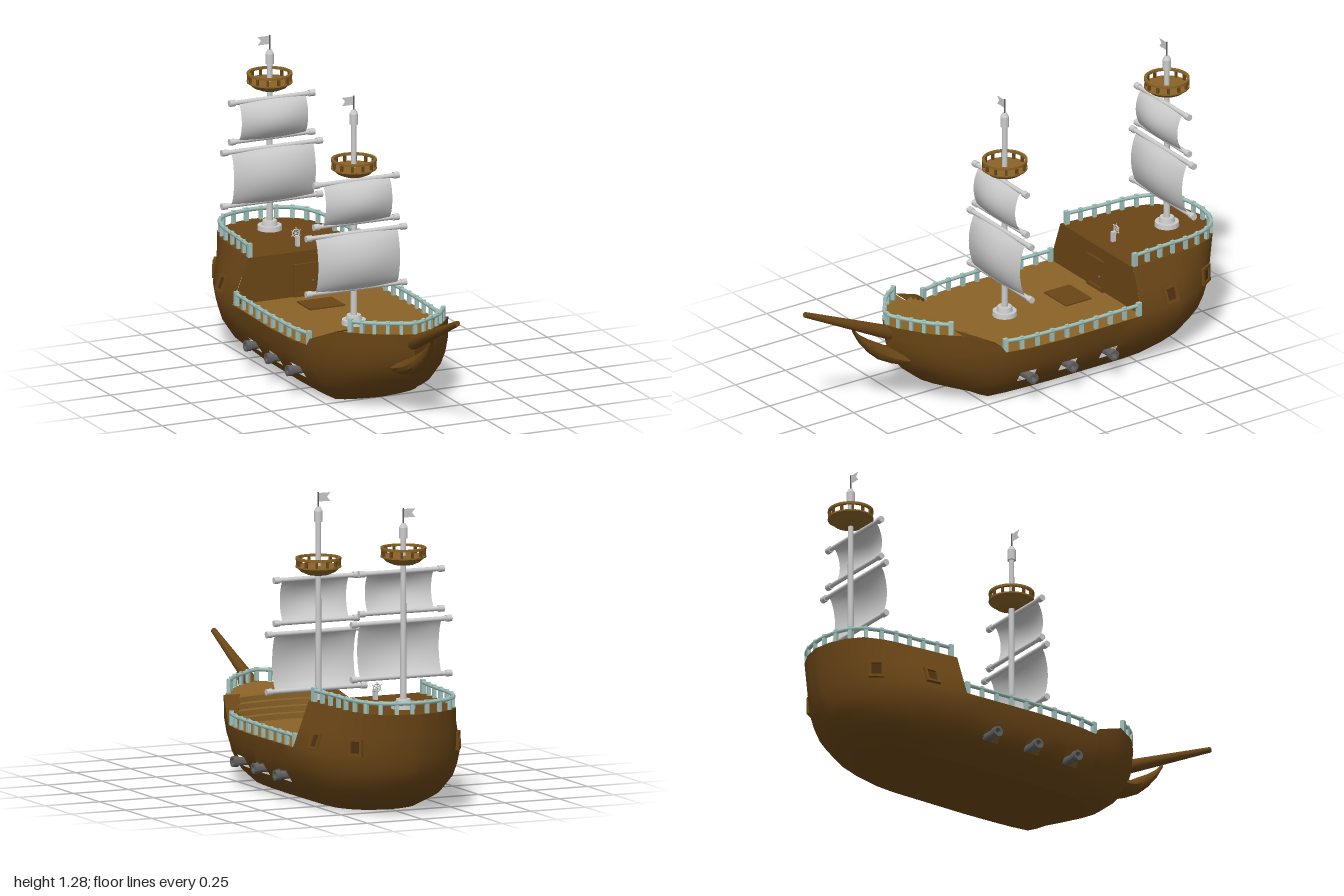
import * as THREE from 'three';
import { toCreasedNormals } from 'three/addons/utils/BufferGeometryUtils.js';

const mat = (color, side = THREE.FrontSide) => new THREE.MeshStandardMaterial({ color, side });
const HULL = 0x6b4616, DECK = 0x8b6428;
const hullMat = mat(HULL), deckMat = mat(DECK, THREE.DoubleSide), wallMat = mat(HULL, THREE.DoubleSide);
const grey = mat(0xcccccc), sailMat = mat(0xcccccc, THREE.DoubleSide);
const railMat = mat(0x9fc2bb), ironMat = mat(0x606060), darkMat = mat(0x4a300f);

const { lerp } = THREE.MathUtils;
// piecewise linear lookup in a table of [key, value]
function look(table, k) {
  for (let i = 1; i < table.length; i++) {
    const [a, va] = table[i - 1], [b, vb] = table[i];
    if (k <= b) return lerp(va, vb, Math.max(0, (k - a) / (b - a)));
  }
  return table[table.length - 1][1];
}
// surface through rows of [x, y, z] points
function grid(rows, skip = () => false, crease = 0.6) {
  const n = rows[0].length, index = [];
  for (let r = 0; r < rows.length - 1; r++) for (let i = 0; i < n - 1; i++) {
    if (skip(r, i)) continue;
    const a = r * n + i, b = a + n;
    index.push(a, b, a + 1, b, b + 1, a + 1);
  }
  const g = new THREE.BufferGeometry();
  g.setAttribute('position', new THREE.Float32BufferAttribute(rows.flat(2), 3));
  g.setIndex(index);
  return toCreasedNormals(g, crease);
}
function add(parent, name, geo, material, x = 0, y = 0, z = 0) {
  const m = new THREE.Mesh(geo, material);
  m.name = name;
  m.position.set(x, y, z);
  parent.add(m);
  return m;
}
const cyl = (r1, r2, h, n = 16) => new THREE.CylinderGeometry(r1, r2, h, n);

// hull tables: plan width, upper width of the poop, section fullness, bow and stern profiles, sheer
const width = [[-1, 0], [-0.985, 0.08], [-0.95, 0.155], [-0.9, 0.215], [-0.82, 0.27], [-0.68, 0.32], [-0.47, 0.337],
  [-0.1, 0.345], [0.1, 0.335], [0.22, 0.31], [0.37, 0.255], [0.48, 0.175], [0.56, 0.075], [0.6, 0]];
const poopWidth = [[-1, 0], [-0.985, 0.08], [-0.95, 0.15], [-0.9, 0.205], [-0.8, 0.24], [-0.65, 0.25], [-0.47, 0.265]];
const fullness = [[0, 0.58], [0.06, 0.8], [0.13, 0.93], [0.19, 0.98], [0.25, 1]];
const bow = [[0, 0.25], [0.06, 0.41], [0.13, 0.5], [0.19, 0.55], [0.25, 0.58], [0.36, 0.595]];
const stern = [[0, -0.7], [0.06, -0.84], [0.13, -0.92], [0.19, -0.95], [0.25, -0.972], [0.44, -1]];
const sheer = [[0.2, 0.25], [0.22, 0.28], [0.37, 0.345], [0.6, 0.36]];
const BREAK = -0.47;
const topY = z => z <= BREAK ? 0.44 : look(sheer, z);

// point on the left side of the hull at station z and height y
function hullPoint(z, y) {
  let x = look(width, z) * look(fullness, y), zz = z;
  if (z <= BREAK && y > 0.25) x = lerp(x, look(poopWidth, z), (y - 0.25) / 0.19);
  if (z > 0.2) zz = 0.2 + (z - 0.2) * (look(bow, y) - 0.2) / 0.4;
  if (z < BREAK) zz = BREAK + (z - BREAK) * (BREAK - look(stern, y)) / 0.53;
  return [x, y, zz];
}

const gunZ = [0.085, -0.115, -0.32];

function buildHull(g) {
  const st = [-1, -0.995, -0.985, -0.97, -0.95, -0.925, -0.9, -0.86, -0.82, -0.75, -0.68, -0.57, BREAK, BREAK + 0.0005,
    -0.1, 0, 0.2, 0.22, 0.3, 0.37, 0.43, 0.48, 0.52, 0.56, 0.58, 0.6, ...gunZ.flatMap(z => [z - 0.038, z + 0.038])];
  st.sort((a, b) => a - b);
  const ring = [...st.map(z => [z, 1]), ...st.slice(0, -1).reverse().map(z => [z, -1])];
  const row = (yOf, k = 1) => ring.map(([z, s]) => {
    const p = hullPoint(z, yOf(z));
    return [p[0] * s * k, p[1], p[2]];
  });
  const levels = [0, 0.03, 0.06, 0.085, 0.135, 0.19, 0.25];
  const rows = [row(() => 0, 0), ...levels.map(y => row(() => y)),
    ...[0.5, 1].map(f => row(z => lerp(0.25, topY(z), f)))];
  // gun ports are left open
  const port = (r, i) => r === 4 && gunZ.some(z => Math.abs((ring[i][0] + ring[i + 1][0]) / 2 - z) < 0.03);
  add(g, 'hull', grid(rows, port), hullMat);

  // decks
  const deck = (name, a, b, yOf, m, n = 24) => add(g, name, grid(Array.from({ length: n + 1 }, (_, i) => {
    const z = lerp(a, b, i / n), p = hullPoint(z, yOf(z));
    return [[-p[0], p[1], p[2]], [p[0], p[1], p[2]]];
  }).reverse()), m);
  deck('mainDeck', BREAK, 0.26, () => 0.247, deckMat);
  deck('foreDeck', 0.37, 0.6, z => topY(z) - 0.004, deckMat);
  deck('poopDeck', -1, BREAK, () => 0.438, wallMat, 60);
  const [b, t] = [0.247, 0.44].map(y => hullPoint(BREAK, y));
  add(g, 'poopBulkhead', grid([b, t].map(p => [[p[0], p[1], p[2]], [-p[0], p[1], p[2]]])), wallMat);

  // curved steps up to the fore deck, with sloping sides
  const inner = z => lerp(0.27, 0.18, (z - 0.2) / 0.17);
  const profile = [[0.21, 0.247]];
  for (let i = 0; i < 4; i++) profile.push([0.21 + i * 0.037, 0.27 + i * 0.0225], [0.247 + i * 0.037, 0.27 + i * 0.0225]);
  profile.push([0.38, 0.3375]);
  add(g, 'foreSteps', grid(profile.map(([z, y]) => Array.from({ length: 13 }, (_, i) => {
    const s = 1 - i / 6;
    return [s * inner(z), y, z + 0.035 * (1 - s * s)];
  })), undefined, 0.5), deckMat);
  for (const s of [1, -1]) add(g, 'stepSide', grid([0.2, 0.22, 0.3, 0.37].map(z => {
    const y = topY(z), p = hullPoint(z, y);
    return [[s * inner(z), 0.247, z], [s * inner(z), y, p[2]], [s * p[0], y, p[2]]];
  })), wallMat);

  // hatch and cabin door
  add(g, 'hatch', new THREE.BoxGeometry(0.16, 0.008, 0.13), hullMat, 0, 0.249, -0.325);
  add(g, 'doorFrame', frame(0.12, 0.14, 0.015, 0.012), hullMat, 0, 0.318, BREAK);
  add(g, 'door', new THREE.BoxGeometry(0.09, 0.125, 0.008), hullMat, 0, 0.312, BREAK);
  add(g, 'doorKnob', new THREE.SphereGeometry(0.006, 8, 6), ironMat, 0.03, 0.31, BREAK + 0.008);
}

// rectangular frame
function frame(w, h, t, depth) {
  const rect = (P, a, b) => new P([[-a, -b], [a, -b], [a, b], [-a, b]].map(p => new THREE.Vector2(...p)));
  const s = rect(THREE.Shape, w / 2, h / 2);
  s.holes.push(rect(THREE.Path, w / 2 - t, h / 2 - t));
  return new THREE.ExtrudeGeometry(s, { depth, bevelEnabled: false });
}

// railing along points that follow the hull edge
function railing(g, name, pts, posts) {
  const r = new THREE.Group();
  r.name = name;
  g.add(r);
  const path = new THREE.CatmullRomCurve3(pts.map(p => new THREE.Vector3(p[0], p[1] + 0.045, p[2])));
  add(r, 'handrail', new THREE.TubeGeometry(path, 60, 0.009, 6), railMat);
  for (let i = 0; i <= posts; i++) {
    const p = path.getPointAt(i / posts), d = path.getTangentAt(i / posts);
    const end = i === 0 || i === posts ? 0.004 : 0;
    const post = add(r, 'railPost', new THREE.BoxGeometry(0.014 + end, 0.056 + end, 0.016 + end), railMat, p.x, p.y - 0.018, p.z);
    post.rotation.y = Math.atan2(d.x, d.z);
  }
}
function buildRailings(g) {
  const edge = (z, s) => { const p = hullPoint(z, topY(z)); return [s * Math.max(0, p[0] - 0.014), p[1], p[2]]; };
  for (const s of [1, -1]) railing(g, 'mainRailing', [0.195, 0.1, 0, -0.15, -0.3, -0.46].map(z => edge(z, s)), 9);
  const round = (zs, tip) => [...zs.map(z => edge(z, 1)), tip, ...zs.slice().reverse().map(z => edge(z, -1))];
  railing(g, 'foreRailing', round([0.41, 0.48, 0.54], [0, 0.36, 0.582]), 10);
  railing(g, 'poopRailing', round([-0.49, -0.65, -0.8, -0.9, -0.95], [0, 0.44, -0.98]), 19);
}

function buildMast(g, z, base, nestY, capY, tip, sails) {
  const m = new THREE.Group();
  m.name = 'mast';
  m.position.z = z;
  g.add(m);
  add(m, 'mastFoot', cyl(0.05, 0.052, 0.02, 20), grey, 0, base + 0.01);
  add(m, 'mastCollar', cyl(0.03, 0.034, 0.02, 20), grey, 0, base + 0.03);
  add(m, 'mastPole', cyl(0.011, 0.014, capY - base), grey, 0, (capY + base) / 2);
  add(m, 'mastCap', cyl(0.018, 0.018, 0.045), grey, 0, capY);
  add(m, 'mastCapTop', cyl(0.008, 0.018, 0.018), grey, 0, capY + 0.031);
  add(m, 'flagPole', cyl(0.003, 0.003, tip - capY, 8), ironMat, 0, (tip + capY) / 2);
  const flag = new THREE.Shape([[0, 0], [-0.055, 0], [-0.04, -0.018], [-0.055, -0.036], [0, -0.036]].map(p => new THREE.Vector2(...p)));
  add(m, 'flag', new THREE.ShapeGeometry(flag), sailMat, 0, tip - 0.003);

  // lookout basket
  const nest = new THREE.Group();
  nest.name = 'lookout';
  nest.position.y = nestY;
  m.add(nest);
  const bowl = [[0, 0], [0.045, 0.002], [0.072, 0.014], [0.088, 0.03], [0.095, 0.032], [0.095, 0.038], [0, 0.038]];
  add(nest, 'basket', toCreasedNormals(new THREE.LatheGeometry(bowl.map(p => new THREE.Vector2(...p)), 28), 0.7), mat(DECK));
  const hoop = [[0.083, 0.064], [0.095, 0.064], [0.095, 0.074], [0.083, 0.074], [0.083, 0.064]];
  add(nest, 'basketHoop', toCreasedNormals(new THREE.LatheGeometry(hoop.map(p => new THREE.Vector2(...p)), 28), 0.7), mat(DECK));
  for (let i = 0; i < 12; i++) {
    const a = i * Math.PI / 6;
    add(nest, 'basketPost', new THREE.BoxGeometry(0.01, 0.032, 0.01), hullMat, 0.088 * Math.sin(a), 0.05, 0.088 * Math.cos(a)).rotation.y = a;
  }

  // billowing sails between two yards
  for (const [top, bottom, half] of sails) {
    for (const y of [top, bottom]) {
      add(m, 'yard', cyl(0.01, 0.01, half * 2 + 0.03, 12), grey, 0, y, 0.02).rotation.z = Math.PI / 2;
      for (const s of [1, -1]) add(m, 'yardEnd', cyl(0.014, 0.014, 0.026, 12), grey, s * (half + 0.012), y, 0.02).rotation.z = Math.PI / 2;
    }
    const rows = [];
    for (let v = 0; v <= 12; v++) rows.push(Array.from({ length: 15 }, (_, i) => {
      const s = i / 7 - 1, c = Math.cos(s * Math.PI / 2);
      const belly = Math.pow(Math.max(0, Math.sin(v / 12 * Math.PI)), 0.7);
      return [-s * (half - 0.018), lerp(bottom, top, v / 12), 0.022 + belly * (0.03 + 0.02 * c) + 0.008 * c];
    }));
    add(m, 'sail', grid(rows, undefined, 1.2), sailMat);
  }
}

function buildBow(g) {
  // bowsprit
  const a = new THREE.Vector3(0, 0.3, 0.53), b = new THREE.Vector3(0, 0.512, 0.995), d = b.clone().sub(a);
  const spar = add(g, 'bowsprit', cyl(0.012, 0.032, d.length(), 12), hullMat);
  spar.position.copy(a).add(b).multiplyScalar(0.5);
  spar.quaternion.setFromUnitVectors(new THREE.Vector3(0, 1, 0), d.normalize());
  // flared beak below it: z, y, half width, half height
  const beak = [[0.42, 0.21, 0.085, 0.035], [0.53, 0.205, 0.08, 0.034], [0.58, 0.222, 0.056, 0.036], [0.63, 0.25, 0.036, 0.038],
    [0.68, 0.287, 0.024, 0.03], [0.72, 0.326, 0.018, 0.02], [0.75, 0.368, 0.012, 0.01]];
  add(g, 'beak', grid(beak.map(([z, y, w, h]) => Array.from({ length: 13 }, (_, i) => {
    const t = i * Math.PI / 6;
    return [w * Math.cos(t), y + h * Math.sin(t), z];
  }))), wallMat);
}

function buildFittings(g) {
  // guns
  const barrel = [[0, -0.1], [0.02, -0.1], [0.018, 0], [0.017, 0.025], [0.023, 0.028], [0.023, 0.05], [0.013, 0.05], [0.012, 0.02], [0, 0.02]];
  const gun = toCreasedNormals(new THREE.LatheGeometry(barrel.map(p => new THREE.Vector2(...p)), 16), 0.6);
  for (const s of [1, -1]) {
    for (const z of gunZ) add(g, 'gun', gun, ironMat, s * 0.3, 0.112, z).rotation.z = -s * Math.PI / 2;
    // stern windows lying on the hull side
    for (const z of [-0.635, -0.87]) {
      const [p, pz, py] = [[z, 0.295], [z + 0.02, 0.295], [z, 0.315]].map(q => {
        const h = hullPoint(...q);
        return new THREE.Vector3(h[0] * s, h[1], h[2]);
      });
      const n = py.sub(p).cross(pz.sub(p)).multiplyScalar(s).normalize();
      const w = new THREE.Group();
      w.name = 'sternWindow';
      w.position.copy(p);
      w.lookAt(p.clone().add(n));
      add(w, 'windowFrame', frame(0.066, 0.075, 0.012, 0.02), hullMat, 0, 0, -0.008);
      add(w, 'windowPane', new THREE.BoxGeometry(0.042, 0.05, 0.01), darkMat);
      g.add(w);
    }
  }
  // steering wheel
  add(g, 'wheelPost', new THREE.BoxGeometry(0.014, 0.045, 0.02), grey, 0, 0.46, -0.553);
  add(g, 'wheel', new THREE.TorusGeometry(0.016, 0.003, 6, 16), grey, 0, 0.49, -0.568);
  for (let i = 0; i < 3; i++) add(g, 'wheelSpoke', cyl(0.002, 0.002, 0.05, 6), grey, 0, 0.49, -0.568).rotation.z = i * Math.PI / 3;
}

export function createModel() {
  const g = new THREE.Group();
  g.name = 'sailingShip';
  buildHull(g);
  buildBow(g);
  buildRailings(g);
  buildMast(g, -0.008, 0.247, 0.885, 1.13, 1.23, [[0.87, 0.69, 0.17], [0.645, 0.405, 0.205]]);
  buildMast(g, -0.822, 0.44, 1.042, 1.175, 1.277, [[1.01, 0.843, 0.17], [0.8, 0.57, 0.205]]);
  buildFittings(g);
  return g;
}
